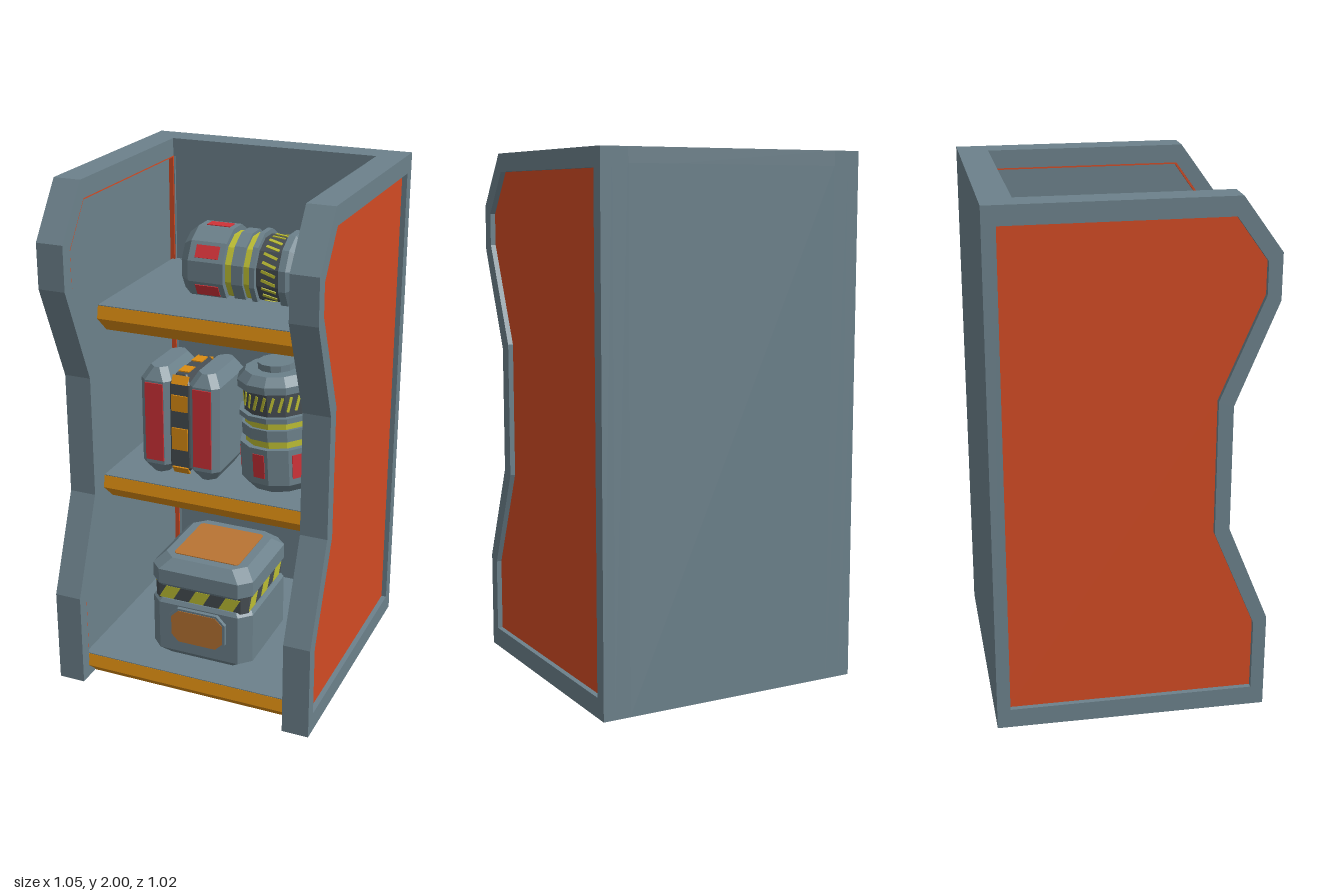
import * as THREE from 'three';
import { ConvexGeometry } from 'three/addons/geometries/ConvexGeometry.js';

const mat = (name, color) => {
  const m = new THREE.MeshStandardMaterial({ color });
  m.name = name;
  return m;
};

export function createModel() {
  const steel = mat('steel grey', 0x6c818b);
  const orange = mat('panel orange', 0xd24b24);
  const gold = mat('shelf gold', 0xdb8c12);
  const yellow = mat('hazard yellow', 0xbcbd33);
  const red = mat('window red', 0xd03238);
  const tan = mat('hatch tan', 0xb97433);
  const dark = mat('charcoal', 0x464d52);

  const model = new THREE.Group();
  model.name = 'stockedShelfUnit';

  const add = (parent, name, geo, material, x = 0, y = 0, z = 0) => {
    const m = new THREE.Mesh(geo, material);
    m.name = name;
    m.position.set(x, y, z);
    parent.add(m);
    return m;
  };
  const group = (name, x, y, z) => {
    const g = new THREE.Group();
    g.name = name;
    g.position.set(x, y, z);
    model.add(g);
    return g;
  };
  const box = (w, h, d) => new THREE.BoxGeometry(w, h, d);
  const vecs = pts => pts.map(p => new THREE.Vector2(...p));

  // Plate with a (z, y) outline, spanning x0..x1
  const slab = (pts, x0, x1, hole) => {
    const s = new THREE.Shape(vecs(pts));
    if (hole) s.holes.push(new THREE.Path(vecs(hole)));
    return new THREE.ExtrudeGeometry(s, { depth: x1 - x0, bevelEnabled: false })
      .rotateY(-Math.PI / 2).translate(x1, 0, 0);
  };
  // Flat plate in the xy plane, growing towards +z
  const plate = (pts, t) =>
    new THREE.ExtrudeGeometry(new THREE.Shape(vecs(pts)), { depth: t, bevelEnabled: false });
  const cutRect = (w, h, c) => {
    const a = w / 2, b = h / 2;
    return [[-a + c, -b], [a - c, -b], [a, -b + c], [a, b - c], [a - c, b], [-a + c, b], [-a, b - c], [-a, -b + c]];
  };
  // Box with cut vertical corners; levels are [y, inset]
  const cutBox = (w, d, c, levels) => new ConvexGeometry(levels.flatMap(([y, i]) =>
    cutRect(w - 2 * i, d - 2 * i, c).map(([x, z]) => new THREE.Vector3(x, y, z))));

  // Cabinet sides
  const outline = [[-0.51, 0.015], [0.515, 0.015], [0.515, 0.39], [0.36, 0.77], [0.36, 1.25],
    [0.515, 1.63], [0.515, 1.8], [0.37, 2], [-0.51, 2]];
  const panel = [[-0.46, 0.09], [0.465, 0.09], [0.465, 0.37], [0.305, 0.755], [0.305, 1.27],
    [0.465, 1.65], [0.465, 1.77], [0.35, 1.93], [-0.46, 1.93]];
  const inner = panel.map(([z, y]) => [Math.max(z, -0.405), y]);
  const lining = inner.map(([z, y]) => [0.03 + (z - 0.03) * 0.985, 1.01 + (y - 1.01) * 0.993]);
  for (const [side, s] of [['left', 1], ['right', -1]]) {
    const layer = (name, m, pts, a, b, hole) =>
      add(model, side + name, slab(pts, Math.min(s * a, s * b), Math.max(s * a, s * b), hole), m);
    layer('OuterFrame', steel, outline, 0.48, 0.525, panel);
    layer('InnerFrame', steel, outline, 0.42, 0.48, inner);
    layer('OuterPanel', orange, panel, 0.48, 0.505);
    layer('InnerPanel', steel, inner, 0.442, 0.479);
    layer('InnerLining', orange, inner, 0.423, 0.443, lining);
  }

  // Back wall, top lip and floor
  add(model, 'backWall', box(0.84, 1.93, 0.095), steel, 0, 0.98, -0.4625);
  add(model, 'backLip', box(0.84, 0.07, 0.115), steel, 0, 1.965, -0.4525);
  add(model, 'floor', box(0.84, 0.095, 0.31), steel, 0, 0.0625, -0.355);

  // Shelves: bevelled gold tray with a grey top
  const tray = [[-0.245, 0], [0.4, 0], [0.47, 0.065], [0.46, 0.113], [-0.245, 0.113]];
  for (const [name, y, z] of [['bottom', 0, 0], ['middle', 0.69, -0.21], ['top', 1.387, -0.21]]) {
    add(model, name + 'Shelf', slab(tray, -0.435, 0.435), gold, 0, y, z);
    add(model, name + 'ShelfTop', box(0.87, 0.004, 0.704), steel, 0, y + 0.114, z + 0.107);
  }

  // Crate on the bottom shelf
  const crate = group('crate', 0.01, 0.118, 0.15);
  add(crate, 'crateBody', cutBox(0.42, 0.42, 0.045, [[0, 0.035], [0.035, 0], [0.24, 0], [0.255, 0.01]]), steel);
  add(crate, 'crateBand', cutBox(0.39, 0.39, 0.025, [[0.25, 0], [0.32, 0]]), dark);
  add(crate, 'crateLid', cutBox(0.42, 0.42, 0.045, [[0.312, 0.01], [0.325, 0], [0.385, 0], [0.423, 0.04]]), steel);
  add(crate, 'lidHatch', plate(cutRect(0.27, 0.27, 0.01), 0.005).rotateX(-Math.PI / 2), tan, 0, 0.421, 0);
  const slash = [[-0.045, 0.257], [0.015, 0.257], [0.045, 0.31], [-0.015, 0.31]];
  for (let k = 0; k < 4; k++) {
    const face = new THREE.Group();
    face.name = 'crateFace';
    face.rotation.y = k * Math.PI / 2;
    crate.add(face);
    for (const x of [-0.125, 0, 0.125]) add(face, 'hazardStripe', plate(slash, 0.005), yellow, x, 0, 0.193);
    if (k % 2 === 0) {
      add(face, 'hatchFrame', plate(cutRect(0.235, 0.155, 0.035), 0.02), steel, 0, 0.158, 0.205);
      add(face, 'hatchCover', plate(cutRect(0.215, 0.138, 0.03), 0.005), tan, 0, 0.158, 0.222);
    }
  }

  // Twin power cell on the middle shelf
  const cell = group('powerCell', -0.1525, 0.806, 0.022);
  for (const s of [-1, 1]) {
    add(cell, 'cellHalf', cutBox(0.127, 0.29, 0.025, [[0, 0.028], [0.045, 0], [0.39, 0], [0.438, 0.028]]), steel, s * 0.1, 0, 0);
    for (const f of [-1, 1]) add(cell, 'cellWindow', box(0.075, 0.32, 0.008), red, s * 0.1, 0.222, f * 0.146);
  }
  add(cell, 'cellCore', cutBox(0.085, 0.26, 0.005, [[0.01, 0.02], [0.04, 0], [0.385, 0], [0.422, 0.02]]), dark);
  for (const f of [-1, 1]) {
    for (const [y, h] of [[0.16, 0.09], [0.308, 0.065]]) add(cell, 'coreLight', box(0.066, h, 0.009), gold, 0, y, f * 0.131);
    for (const [y, t] of [[0.4, -f * 0.5], [0.027, f * 0.57]])
      add(cell, 'coreEdgeLight', box(0.066, 0.036, 0.009), gold, 0, y, f * 0.121).rotation.x = t;
    add(cell, 'coreTopLight', box(0.044, 0.009, 0.06), gold, 0, 0.422, f * 0.06);
  }

  // Twelve-sided canister, axis along y
  const canister = (name, x, y, z) => {
    const g = group(name, x, y, z);
    const ring = (part, m, y0, y1, r0, r1 = r0) => {
      const k = 1 / Math.cos(Math.PI / 12);
      const geo = new THREE.CylinderGeometry(r1 * k, r0 * k, y1 - y0, 12).rotateY(Math.PI / 12).toNonIndexed();
      geo.computeVertexNormals();
      add(g, part, geo, m, 0, (y0 + y1) / 2, 0);
    };
    ring('baseNub', steel, -0.2525, -0.23, 0.07);
    ring('lowerBevel', steel, -0.2325, -0.195, 0.118, 0.1475);
    ring('lowerBody', steel, -0.195, -0.0525, 0.1475);
    ring('yellowBands', yellow, -0.0525, 0.0525, 0.126);
    ring('middleRing', steel, -0.0225, 0.0225, 0.138);
    ring('upperRing', steel, 0.0525, 0.073, 0.145);
    ring('hazardBand', dark, 0.073, 0.1675, 0.126);
    ring('upperBody', steel, 0.1675, 0.195, 0.1475);
    ring('upperBevel', steel, 0.195, 0.2275, 0.1475, 0.118);
    ring('topNub', steel, 0.2275, 0.2525, 0.07);
    for (let k = 0; k < 12; k++) {
      const face = new THREE.Group();
      face.name = 'canisterFace';
      face.rotation.y = k * Math.PI / 6;
      g.add(face);
      for (const dx of [-0.017, 0.017]) add(face, 'hazardSlash', box(0.011, 0.058, 0.007), yellow, dx, 0.12, 0.126).rotation.z = -0.3;
      if (k % 2) add(face, 'canisterWindow', box(0.05, 0.094, 0.006), red, 0, -0.122, 0.1475);
    }
    return g;
  };
  canister('lyingCanister', 0.0275, 1.605, -0.117).rotation.z = -Math.PI / 2;
  canister('standingCanister', 0.22, 1.06, 0.06).rotation.set(0, 0.31, 0.055, 'ZXY');

  return model;
}
